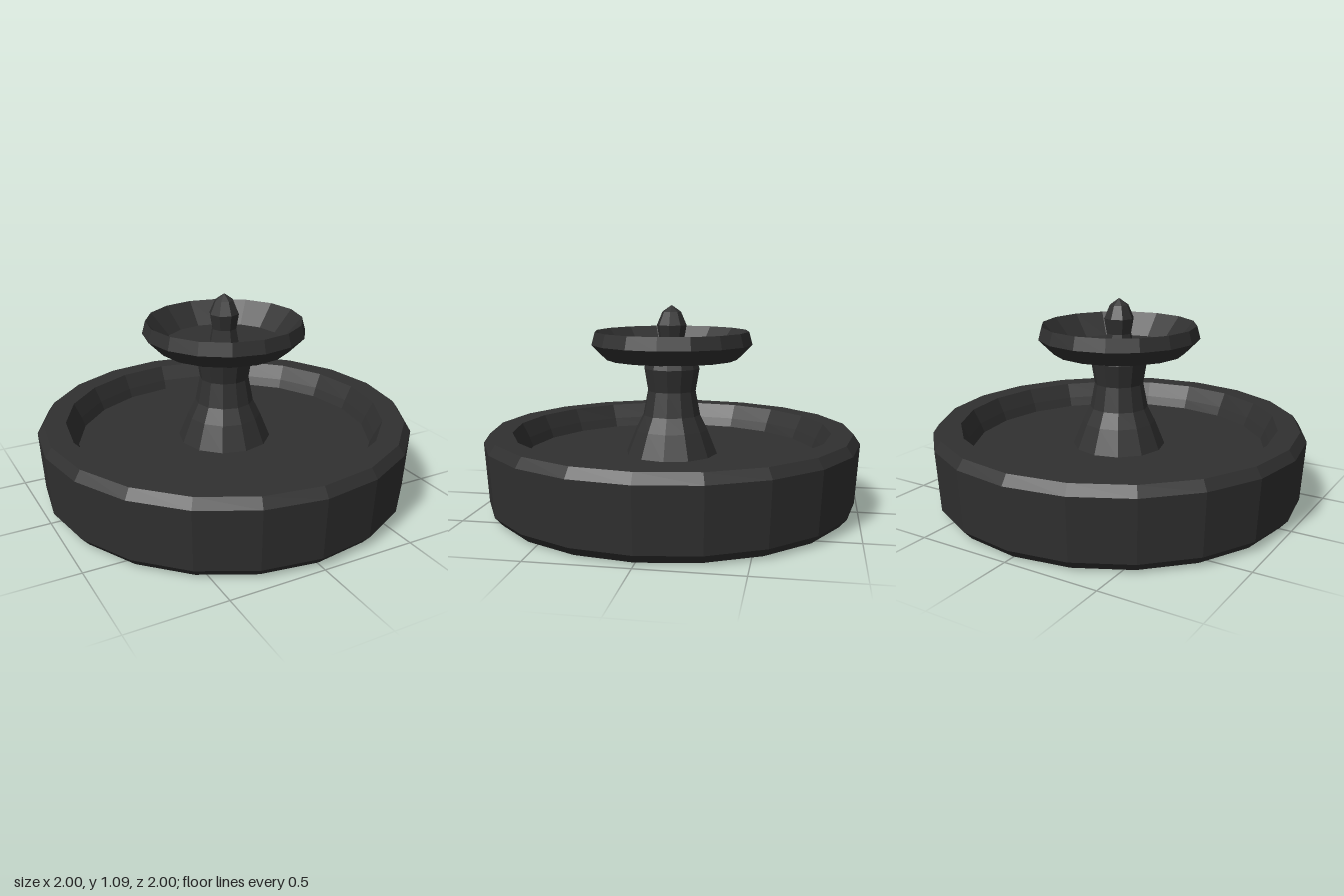
import * as THREE from 'three';

// Builds one faceted turned part from [radius, height] pairs, listed from the bottom outside upward.
function turned(name, sides, profile, material) {
  const points = profile.map(([r, y]) => new THREE.Vector2(r, y));
  const mesh = new THREE.Mesh(new THREE.LatheGeometry(points, sides), material);
  mesh.name = name;
  return mesh;
}

export function createModel() {
  const group = new THREE.Group();
  group.name = 'fountain';
  const stone = new THREE.MeshStandardMaterial({ color: 0x303030, flatShading: true });

  // Wide basin: bevelled wall, flat rim, sloping inner wall and floor
  group.add(turned('basin', 20, [
    [0, 0], [0.94, 0.005], [0.98, 0.05], [1, 0.37], [0.965, 0.42],
    [0.85, 0.42], [0.81, 0.34], [0.79, 0.29], [0, 0.29],
  ], stone));

  // Flared column
  group.add(turned('column', 12, [
    [0.25, 0.285], [0.195, 0.42], [0.155, 0.5], [0.13, 0.63], [0.15, 0.75], [0.135, 0.8],
  ], stone));

  // Upper bowl with a shallow dished inside
  group.add(turned('upperBowl', 16, [
    [0, 0.785], [0.15, 0.79], [0.35, 0.8], [0.43, 0.88], [0.412, 0.948],
    [0.31, 0.83], [0, 0.83],
  ], stone));

  // Bud-shaped finial
  group.add(turned('finial', 8, [
    [0.08, 0.825], [0.066, 0.9], [0.08, 0.98], [0.05, 1.05], [0, 1.085],
  ], stone));

  return group;
}
